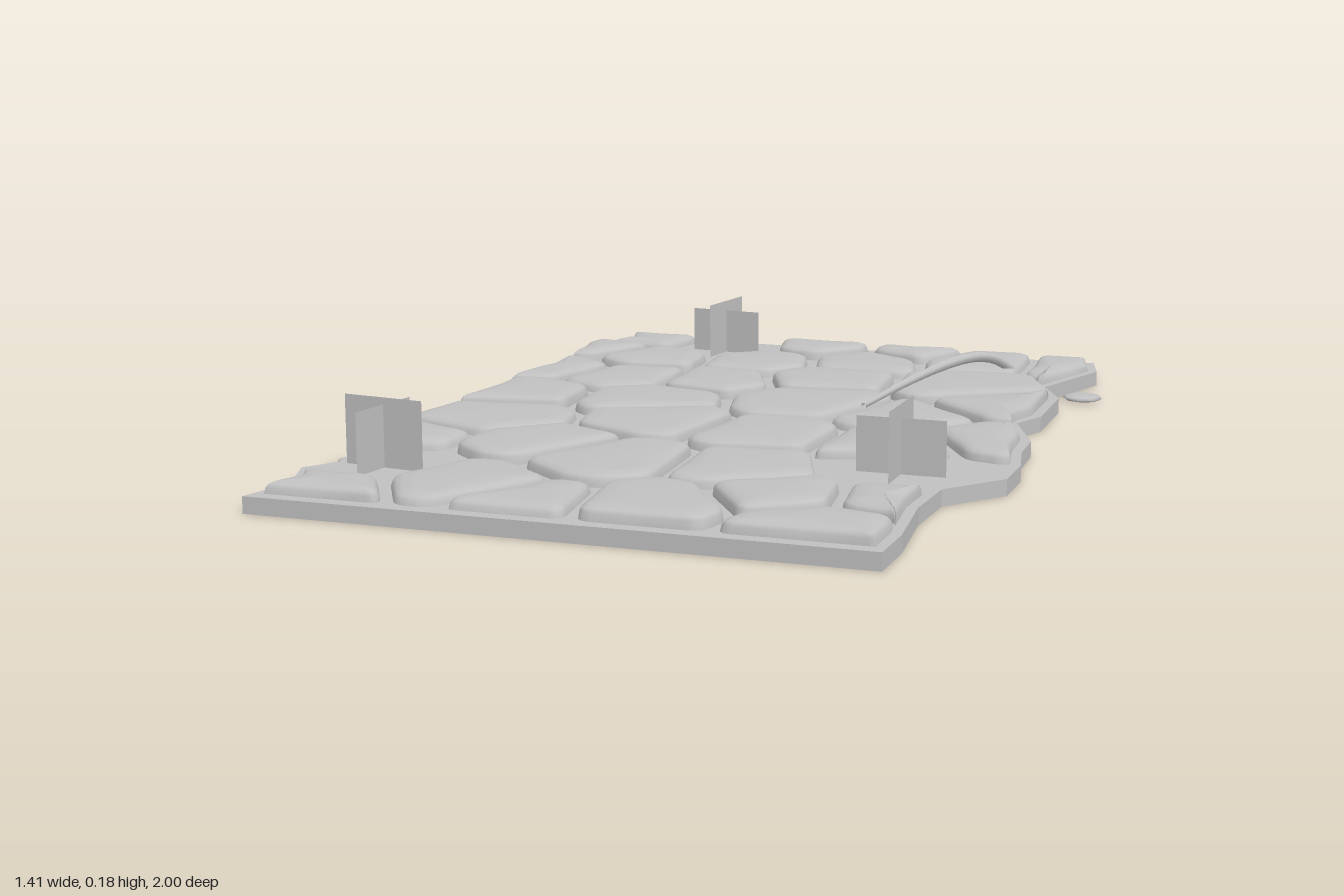
import * as THREE from 'three';

const stoneGrey = new THREE.MeshStandardMaterial({ color: 0xc0c0c0, side: THREE.DoubleSide });
stoneGrey.name = 'stoneGrey';

const GROUND = 0.035;

// Ragged slab edges as [x, z], both from back to front
const rightEdge = [[0.62, -1], [0.65, -0.88], [0.57, -0.63], [0.63, -0.5], [0.635, -0.27], [0.6, -0.18],
  [0.67, 0], [0.675, 0.12], [0.7, 0.24], [0.7, 0.37], [0.6, 0.5], [0.595, 0.66], [0.62, 0.87], [0.62, 1]];
const leftEdge = [[-0.66, -1], [-0.63, -0.89], [-0.695, -0.76], [-0.66, -0.52], [-0.685, -0.25], [-0.665, -0.2],
  [-0.67, 0.02], [-0.705, 0.25], [-0.695, 0.38], [-0.6, 0.5], [-0.6, 0.62], [-0.675, 0.74], [-0.625, 0.87], [-0.655, 1]];

// Stone seeds as [x, z, size]; neighbouring seeds share a joint
const stoneSeeds = [
  [-0.55, -0.9, 0.1], [-0.09, -0.91, 0.1], [0.18, -0.915, 0.09], [0.37, -0.81, 0.14], [0.55, -0.82, 0.1],
  [-0.59, -0.72, 0.08], [-0.43, -0.64, 0.12], [-0.17, -0.67, 0.13], [0.085, -0.735, 0.13], [0.405, -0.5, 0.16],
  [0.075, -0.47, 0.14], [-0.6, -0.41, 0.1], [-0.405, -0.36, 0.13], [-0.18, -0.36, 0.13], [0.54, -0.29, 0.13],
  [0.11, -0.185, 0.16], [0.35, -0.1, 0.14], [-0.54, -0.07, 0.13], [-0.25, -0.09, 0.155], [0.57, 0.08, 0.12],
  [-0.49, 0.19, 0.16], [-0.155, 0.12, 0.15], [0.14, 0.16, 0.14], [0.41, 0.17, 0.145], [-0.57, 0.41, 0.1],
  [-0.295, 0.42, 0.15], [-0.09, 0.53, 0.16], [0.19, 0.51, 0.15], [-0.29, 0.78, 0.155], [0.32, 0.71, 0.14],
  [0.52, 0.68, 0.09], [-0.5, 0.9, 0.09], [-0.13, 0.87, 0.12], [0.14, 0.83, 0.14], [0.45, 0.89, 0.11]];
// Bare earth patches, which hold the grass
const bareSeeds = [[-0.325, -0.855, 0.12], [0.49, 0.4, 0.15], [-0.51, 0.68, 0.13]];
const allSeeds = [...stoneSeeds, ...bareSeeds];

const mix = (a, b, t) => [a[0] + (b[0] - a[0]) * t, a[1] + (b[1] - a[1]) * t];

function edgeX(edge, z) {
  const i = Math.max(1, edge.findIndex((p) => p[1] >= z));
  const a = edge[i - 1], b = edge[i];
  return a[0] + (b[0] - a[0]) * (z - a[1]) / (b[1] - a[1]);
}

// Keep the part of a convex polygon where nx*x + nz*z <= limit
function clip(poly, nx, nz, limit) {
  const out = [];
  poly.forEach((p, i) => {
    const q = poly[(i + 1) % poly.length];
    const dp = nx * p[0] + nz * p[1] - limit, dq = nx * q[0] + nz * q[1] - limit;
    if (dp <= 0) out.push(p);
    if (dp * dq < 0) out.push(mix(p, q, dp / (dp - dq)));
  });
  return out;
}

// Outline of one stone: weighted cell, narrowed by the joint, with rounded corners
function stoneOutline(seed) {
  let poly = [[-0.68, -0.972], [0.68, -0.972], [0.68, 0.968], [-0.68, 0.968]];
  for (const other of allSeeds) {
    if (other === seed) continue;
    const dx = other[0] - seed[0], dz = other[1] - seed[1], d = Math.hypot(dx, dz);
    const reach = (d * d + seed[2] ** 2 - other[2] ** 2) / (2 * d) - 0.012;
    poly = clip(poly, dx / d, dz / d, (seed[0] * dx + seed[1] * dz) / d + reach);
  }
  const ring = [];
  poly.forEach((p, i) => {
    const prev = poly[(i + poly.length - 1) % poly.length], next = poly[(i + 1) % poly.length];
    const cut = (q) => Math.min(0.35, 0.03 / Math.hypot(q[0] - p[0], q[1] - p[1]));
    const a = mix(p, prev, cut(prev)), b = mix(p, next, cut(next));
    for (const t of [0, 0.33, 0.67, 1]) ring.push(mix(mix(a, p, t), mix(p, b, t), t));
    const end = mix(next, p, cut(next));
    for (const t of [0.2, 0.4, 0.6, 0.8]) ring.push(mix(b, end, t));
  });
  return ring.map(([x, z]) => [
    Math.min(edgeX(rightEdge, z) - 0.022, Math.max(edgeX(leftEdge, z) + 0.022, x)), z]);
}

// Skin through closed rings of [x, y, z], optionally closed to a top point
function loft(rings, top) {
  const n = rings[0].length, index = [];
  const points = rings.flat();
  for (let r = 0; r < rings.length - 1; r++) {
    for (let i = 0; i < n; i++) {
      const a = r * n + i, b = r * n + (i + 1) % n;
      index.push(a, a + n, b, b, a + n, b + n);
    }
  }
  if (top) {
    const base = (rings.length - 1) * n;
    for (let i = 0; i < n; i++) index.push(base + i, points.length, base + (i + 1) % n);
    points.push(top);
  }
  const geometry = new THREE.BufferGeometry();
  geometry.setAttribute('position', new THREE.Float32BufferAttribute(points.flat(), 3));
  geometry.setIndex(index);
  geometry.computeVertexNormals();
  return geometry;
}

function stoneGeometry(outline, height) {
  const cx = outline.reduce((s, p) => s + p[0], 0) / outline.length;
  const cz = outline.reduce((s, p) => s + p[1], 0) / outline.length;
  const ring = (inset, y) => outline.map(([x, z]) => {
    const k = 1 - Math.min(0.8, inset / Math.hypot(x - cx, z - cz));
    return [cx + (x - cx) * k, y, cz + (z - cz) * k];
  });
  return loft([ring(0, GROUND), ring(0.003, height - 0.012), ring(0.009, height - 0.005),
    ring(0.022, height), ring(0.05, height + 0.002)], [cx, height + 0.004, cz]);
}

export function createModel() {
  const model = new THREE.Group();
  model.name = 'stonePath';
  const add = (name, geometry, parent = model) => {
    const mesh = new THREE.Mesh(geometry, stoneGrey);
    mesh.name = name;
    parent.add(mesh);
    return mesh;
  };

  // Paving stones: hollow shells with rounded rims
  const stones = new THREE.Group();
  stones.name = 'pavingStones';
  model.add(stones);
  const outlines = stoneSeeds.map(stoneOutline);
  outlines.forEach((o, i) => add('pavingStone', stoneGeometry(o, 0.057 + 0.002 * ((i * 7) % 4)), stones));

  // Earth sheet between the stones, and its vertical rim
  const border = [...rightEdge, ...[...leftEdge].reverse()];
  const toFlat = ([x, z]) => new THREE.Vector2(x, -z);
  const sheet = new THREE.Shape(border.map(toFlat));
  sheet.holes = outlines.map((o) => new THREE.Path(o.map(toFlat)));
  add('earth', new THREE.ShapeGeometry(sheet).rotateX(-Math.PI / 2).translate(0, GROUND, 0));
  const rim = [0, GROUND].map((y) => border.map(([x, z]) => [x, y, z]));
  const rimGeometry = loft(rim).toNonIndexed();
  rimGeometry.computeVertexNormals();
  add('earthRim', rimGeometry);

  // Grass tufts: two crossed upright cards each
  const tufts = [[-0.325, -0.855, 0.145, 0.17, -0.12, 1], [0.49, 0.4, 0.15, 0.18, 0, 1], [-0.515, 0.685, 0.18, 0.165, -0.13, -1]];
  for (const [x, z, topA, topB, turn, side] of tufts) {
    const tuft = new THREE.Group();
    tuft.name = 'grassTuft';
    tuft.position.set(x, 0, z);
    tuft.rotation.y = turn;
    model.add(tuft);
    [[topA, Math.PI], [topB, side * Math.PI / 2]].forEach(([top, angle]) => {
      const card = new THREE.PlaneGeometry(0.187, top - GROUND).translate(0, (top + GROUND) / 2, 0);
      add('grassCard', card.rotateY(angle), tuft);
    });
  }

  // Arched root, thicker at the back end
  const arch = new THREE.CatmullRomCurve3([[0.25, 0.055, -0.165], [0.3, 0.08, -0.32], [0.36, 0.102, -0.48],
    [0.405, 0.104, -0.6], [0.435, 0.085, -0.69], [0.46, 0.055, -0.745]].map((p) => new THREE.Vector3(...p)));
  const root = new THREE.TubeGeometry(arch, 20, 0.012, 6);
  const position = root.attributes.position, v = new THREE.Vector3();
  for (let i = 0; i < position.count; i++) {
    const t = Math.floor(i / 7) / 20;
    const centre = arch.getPointAt(t);
    v.fromBufferAttribute(position, i).sub(centre).multiplyScalar(0.6 + 0.4 * Math.min(1, t * 2)).add(centre);
    position.setXYZ(i, v.x, v.y, v.z);
  }
  root.computeVertexNormals();
  add('root', root);

  // Flat pebbles beside the path
  for (const [x, z, r] of [[0.655, -0.665, 0.048], [-0.66, 0.55, 0.036]]) {
    const pebble = new THREE.SphereGeometry(r, 8, 6).scale(1, 0.009 / r, 1).translate(x, 0.009, z);
    add('pebble', pebble);
  }
  return model;
}
